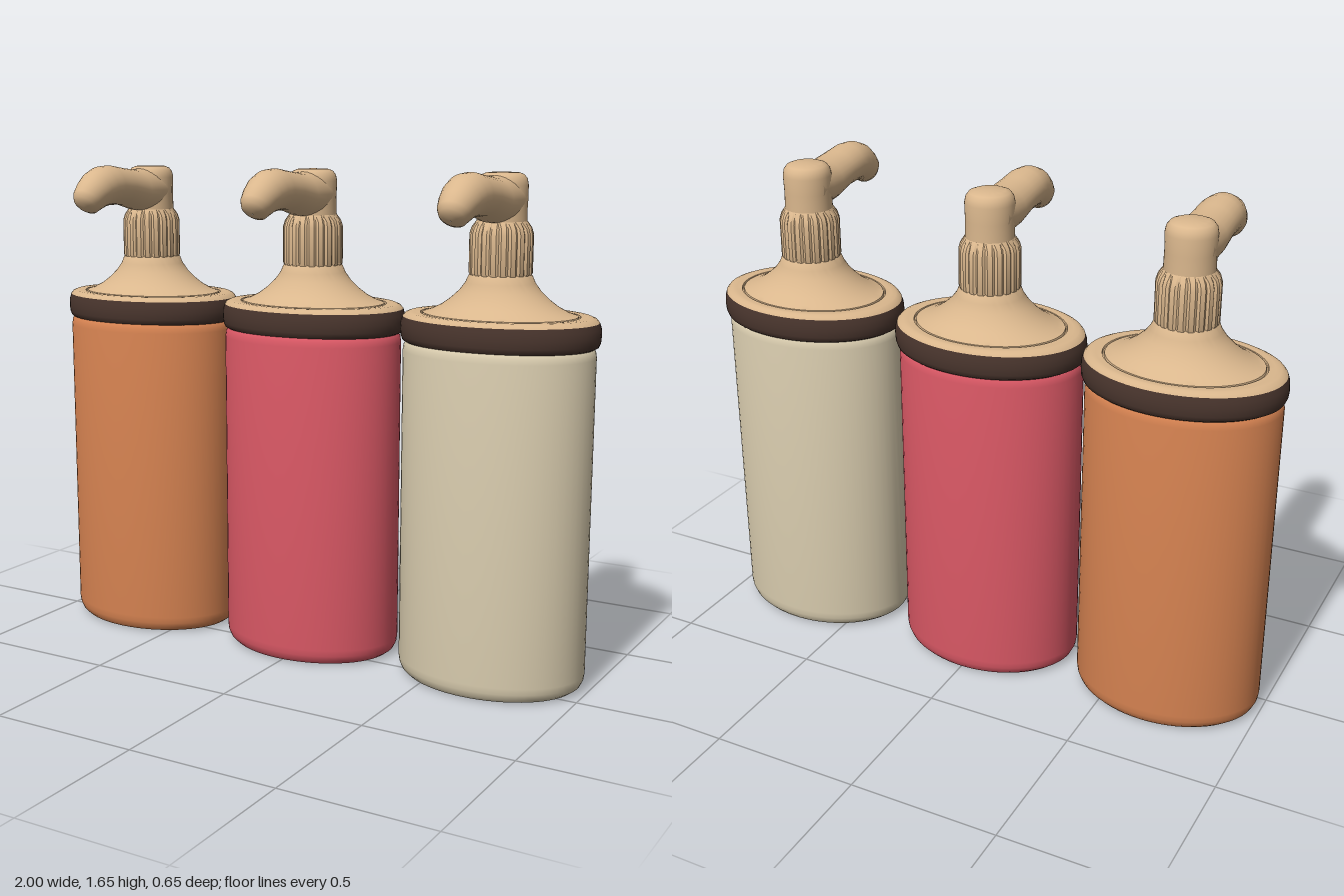
import * as THREE from 'three';
import { toCreasedNormals } from 'three/addons/utils/BufferGeometryUtils.js';

const material = (name, color) => {
  const m = new THREE.MeshStandardMaterial({ color });
  m.name = name;
  return m;
};

// Turned shape: circular inside radius 0.1, flattening to an oval further out
function ovalLathe(profile, segments = 64) {
  const g = new THREE.LatheGeometry(profile.map(([r, y]) => new THREE.Vector2(r, y)), segments);
  const p = g.attributes.position;
  for (let i = 0; i < p.count; i++) {
    const r = Math.hypot(p.getX(i), p.getZ(i));
    if (r > 0.1) p.setZ(i, (p.getZ(i) / r) * (0.1 + (r - 0.1) * 0.64));
  }
  return toCreasedNormals(g, 0.7);
}

// Threaded neck: every fourth column of vertices is pulled in to make grooves
function ribbedNeck() {
  const profile = [[0.092, 1.315], [0.1, 1.335], [0.1, 1.455], [0.094, 1.475], [0.08, 1.495]];
  const g = new THREE.LatheGeometry(profile.map(([r, y]) => new THREE.Vector2(r, y)), 80);
  const p = g.attributes.position;
  for (let i = 0; i < p.count; i++) {
    const column = Math.floor(i / profile.length);
    const row = i % profile.length;
    if (column % 4 === 0 && row > 0 && row < 4) {
      p.setX(i, p.getX(i) * 0.94);
      p.setZ(i, p.getZ(i) * 0.94);
    }
  }
  return toCreasedNormals(g, 0.5);
}

// Nozzle: oval sections [z, y, half height, half width, forward tilt]
function nozzleGeometry() {
  const sections = [
    [-0.10, 1.567, 0.077, 0.078, 0], [-0.04, 1.563, 0.076, 0.08, 0],
    [0.02, 1.564, 0.070, 0.079, 0], [0.10, 1.579, 0.063, 0.075, -0.05],
    [0.16, 1.585, 0.067, 0.073, 0.05], [0.195, 1.583, 0.068, 0.070, 0.25],
    [0.225, 1.573, 0.066, 0.066, 0.5], [0.252, 1.557, 0.061, 0.060, 0.75],
    [0.278, 1.538, 0.054, 0.052, 0.85], [0.290, 1.523, 0.045, 0.042, 0.85],
    [0.297, 1.515, 0.025, 0.024, 0.85], [0.298, 1.514, 0.001, 0.001, 0.85],
  ];
  const n = 28, pos = [], index = [];
  for (const [z, y, h, w, tilt] of sections) {
    for (let j = 0; j < n; j++) {
      const a = (j / n) * Math.PI * 2, up = Math.sin(a) * h;
      pos.push(Math.cos(a) * w, y + up * Math.cos(tilt), z + up * Math.sin(tilt));
    }
  }
  for (let i = 0; i < sections.length - 1; i++) {
    for (let j = 0; j < n; j++) {
      const a = i * n + j, b = i * n + ((j + 1) % n);
      index.push(a, b, b + n, a, b + n, a + n);
    }
  }
  const g = new THREE.BufferGeometry();
  g.setAttribute('position', new THREE.Float32BufferAttribute(pos, 3));
  g.setIndex(index);
  g.computeVertexNormals();
  return g;
}

export function createModel() {
  const model = new THREE.Group();
  model.name = 'pumpBottles';

  const tan = material('tan plastic', 0xdab78d);
  const dark = material('dark brown collar', 0x49352d);
  const bodies = [
    material('orange', 0xd88452),
    material('red', 0xdc5966),
    material('cream', 0xdbceb0),
  ];

  // Bottle with a dished base and softly rounded edges
  const body = ovalLathe([
    [0, 0.062], [0.06, 0.062], [0.066, 0.052], [0.12, 0.046], [0.18, 0.028], [0.22, 0.010],
    [0.245, 0.002], [0.265, 0], [0.287, 0.004], [0.303, 0.016], [0.312, 0.034], [0.315, 0.055],
    [0.315, 1.08], [0.312, 1.097], [0.303, 1.112], [0.285, 1.12],
  ]);
  // Rounded band around the shoulder
  const collar = ovalLathe([
    [0.28, 1.108], [0.308, 1.108], [0.319, 1.114], [0.325, 1.128], [0.327, 1.15],
    [0.325, 1.172], [0.319, 1.189],
  ]);
  // Lid: rim, shallow groove and concave cone up to the neck
  const lid = ovalLathe([
    [0.319, 1.189], [0.311, 1.198], [0.298, 1.203], [0.28, 1.204], [0.259, 1.203],
    [0.257, 1.197], [0.253, 1.197], [0.251, 1.204], [0.225, 1.212], [0.19, 1.229],
    [0.16, 1.250], [0.13, 1.277], [0.11, 1.303], [0.1, 1.325], [0.09, 1.335],
  ]);
  // Upright stem with a rounded top
  const stem = ovalLathe([
    [0.08, 1.46], [0.078, 1.55], [0.08, 1.605], [0.076, 1.625], [0.066, 1.638],
    [0.05, 1.644], [0, 1.646],
  ], 40);
  const neck = ribbedNeck();
  const nozzle = nozzleGeometry();

  [-0.673, -0.007, 0.672].forEach((x, i) => {
    const bottle = new THREE.Group();
    bottle.name = ['rightBottle', 'middleBottle', 'leftBottle'][i];
    const add = (name, geometry, mat, z = -0.079) => {
      const mesh = new THREE.Mesh(geometry, mat);
      mesh.name = name;
      mesh.position.z = z;
      bottle.add(mesh);
    };
    add('body', body, bodies[i], -0.074);
    add('collar', collar, dark);
    add('lid', lid, tan);
    add('neck', neck, tan);
    add('pumpStem', stem, tan);
    add('nozzle', nozzle, tan, 0);
    bottle.position.x = x;
    model.add(bottle);
  });

  return model;
}
